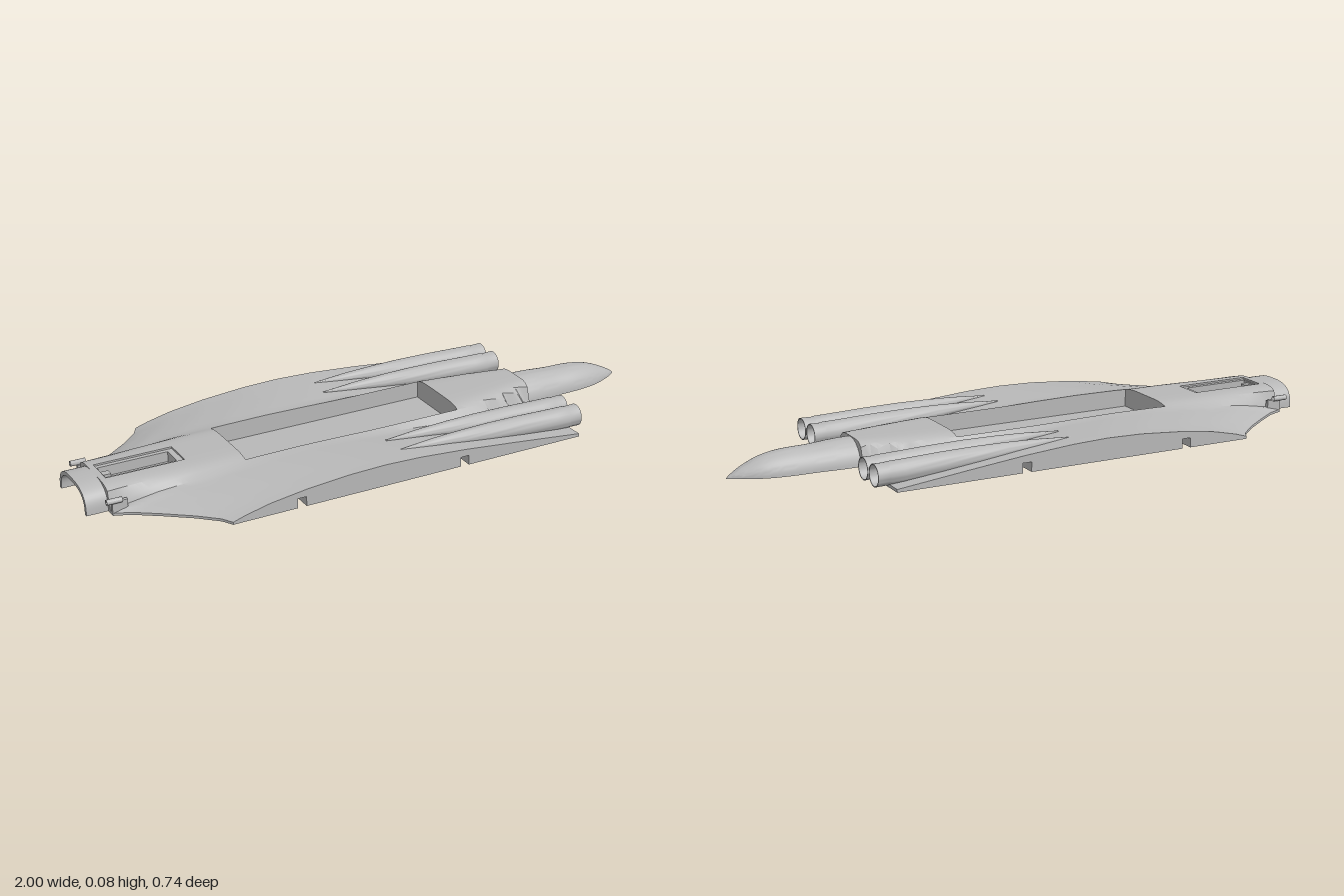
import * as THREE from 'three';
import { toCreasedNormals } from 'three/addons/utils/BufferGeometryUtils.js';

const grey = new THREE.MeshStandardMaterial({ color: 0xb8b8b8, side: THREE.DoubleSide });
grey.name = 'hull grey';

// Linear lookup in a list of [x, value] pairs
function lookup(table, x) {
  if (x <= table[0][0]) return table[0][1];
  for (let i = 1; i < table.length; i++) {
    const [x0, a] = table[i - 1], [x1, b] = table[i];
    if (x <= x1) return a + (b - a) * (x - x0) / (x1 - x0);
  }
  return table[table.length - 1][1];
}

const leading = [[-0.93, 0.145], [-0.88, 0.165], [-0.8, 0.22], [-0.72, 0.28], [-0.66, 0.335], [-0.64, 0.37]];
const leadingByZ = leading.map(([x, z]) => [z, x]);
const airfoil = [[0, 0.008], [0.03, 0.02], [0.1, 0.04], [0.2, 0.057], [0.32, 0.069], [0.42, 0.072],
  [0.52, 0.068], [0.65, 0.056], [0.8, 0.037], [1, 0.01]];
const bodyHalfWidth = [[-0.93, 0.125], [-0.8, 0.132], [-0.6, 0.15], [0.3, 0.148], [0.45, 0.122], [0.59, 0.088]];

// Height of the upper skin: wing and fuselage softly merged
function skin(x, z) {
  const az = Math.abs(z);
  const le = lookup(leadingByZ, az);
  const wing = lookup(airfoil, (x - le) / (0.6 - le));
  const s = az / lookup(bodyHalfWidth, x);
  const body = x < 0.5905 && s < 1 ? 0.08 * Math.pow(1 - s ** 5, 1 / 4) : 0;
  const k = 0.012, h = Math.max(k - Math.abs(wing - body), 0) / k;
  return Math.min(0.08, Math.max(wing, body) + h * h * k / 4);
}

// Recesses from above and from below: x0, x1, z0, z1, level
const upperPits = [
  [-0.905, -0.67, 0, 0.035, 0.04],
  [-0.91, -0.65, 0, 0.05, 0.074],
  [-0.48, 0.285, 0, 0.127, 0.012],
];
const lowerPits = [
  [-0.425, -0.395, 0.27, 0.38, 0.032],
  [0.15, 0.18, 0.27, 0.38, 0.032],
  [-0.425, -0.395, 0.127, 0.176, 0.032],
  [-0.11, -0.06, 0.224, 0.249, 0.03],
  [-0.47, -0.42, 0, 0.012, 0.008],
  [-0.72, -0.67, 0, 0.012, 0.025],
  [0.42, 0.47, 0, 0.012, 0.03],
  [-0.93, -0.9, 0.05, 0.08, 0.03],
];
const level = (pits, x, z) => {
  const p = pits.find(([x0, x1, z0, z1]) => x > x0 && x < x1 && Math.abs(z) > z0 && Math.abs(z) < z1);
  return p ? p[4] : null;
};

// Wing and fuselage as a grid of cells, with walls wherever levels change
function hullGeometry() {
  const xs = [-0.93, 0.59, 0.591, 0.6];
  for (let x = -0.92; x < 0.585; x += 0.02) xs.push(x);
  for (const p of [...upperPits, ...lowerPits]) xs.push(p[0], p[1]);
  leading.forEach(p => xs.push(p[0]));
  const X = [...new Set(xs.map(x => +x.toFixed(4)))].sort((a, b) => a - b);
  const inner = [0, 0.012, 0.035, 0.05, 0.065, 0.08, 0.095, 0.11, 0.127];
  const outerSteps = 10, n = inner.length - 1 + outerSteps;
  const zAt = (x, j) => {
    const a = Math.abs(j), last = inner.length - 1;
    const z = a <= last ? inner[a] : 0.127 + (lookup(leading, x) - 0.127) * (a - last) / outerSteps;
    return Math.sign(j) * z;
  };
  const pos = [];
  const quad = (a, b, c, d) => pos.push(...a, ...b, ...c, ...a, ...c, ...d);
  const cell = (i, j) => {
    if (i < 0 || i >= X.length - 1 || j < -n || j >= n) return null;
    const x = (X[i] + X[i + 1]) / 2, z = (zAt(x, j) + zAt(x, j + 1)) / 2;
    return { top: level(upperPits, x, z), bottom: level(lowerPits, x, z) ?? 0 };
  };
  for (let i = 0; i < X.length - 1; i++) for (let j = -n; j < n; j++) {
    const c = cell(i, j);
    const corners = [[i, j], [i, j + 1], [i + 1, j + 1], [i + 1, j]].map(([a, b]) => [X[a], zAt(X[a], b)]);
    const up = (q, k) => k.top ?? skin(q[0], q[1]);
    const at = (q, y) => [q[0], y, q[1]];
    quad(...corners.map(q => at(q, up(q, c))));
    quad(...corners.map(q => at(q, c.bottom)).reverse());
    const beside = [[i - 1, j], [i, j + 1], [i + 1, j], [i, j - 1]];
    beside.forEach(([a, b], s) => {
      const o = cell(a, b), p = corners[s], q = corners[(s + 1) % 4];
      if (!o) return quad(at(p, c.bottom), at(q, c.bottom), at(q, up(q, c)), at(p, up(p, c)));
      if (o.top !== c.top && (o.top ?? 1) < (c.top ?? 1))
        quad(at(p, o.top), at(q, o.top), at(q, up(q, c)), at(p, up(p, c)));
      if (o.bottom > c.bottom)
        quad(at(p, c.bottom), at(q, c.bottom), at(q, o.bottom), at(p, o.bottom));
    });
  }
  const g = new THREE.BufferGeometry();
  g.setAttribute('position', new THREE.Float32BufferAttribute(pos, 3));
  return g;
}

// Profile of [x, radius] pairs turned about the x axis
function turned(profile, segments, start = 0, sweep = Math.PI * 2) {
  const g = new THREE.LatheGeometry(profile.map(([x, r]) => new THREE.Vector2(r, x)), segments, start, sweep);
  return g.rotateZ(-Math.PI / 2);
}

export function createModel() {
  const model = new THREE.Group();
  model.name = 'aircraftCentreSection';
  const add = (name, geometry, crease = 0.6) => {
    const mesh = new THREE.Mesh(toCreasedNormals(geometry, crease), grey);
    mesh.name = name;
    model.add(mesh);
    return mesh;
  };

  add('wingAndFuselage', hullGeometry(), 0.5);

  // Tail boom: half body with a flat underside
  const boom = new THREE.SplineCurve([[0.56, 0.078], [0.64, 0.077], [0.73, 0.071], [0.82, 0.068], [0.89, 0.056],
    [0.95, 0.032], [0.985, 0.012], [1, 0]].map(p => new THREE.Vector2(...p)))
    .getPoints(40).map(p => [p.x, Math.max(p.y, 0)]);
  add('tailBoom', turned(boom, 28, Math.PI, Math.PI));
  const outline = [...boom, ...boom.slice(0, -1).reverse().map(([x, r]) => [x, -r])];
  const base = new THREE.Shape(outline.map(p => new THREE.Vector2(...p)));
  add('tailBoomUnderside', new THREE.ShapeGeometry(base).rotateX(Math.PI / 2));

  // Nose collar: open arch
  const arc = (w, h) => Array.from({ length: 25 }, (_, i) => {
    const a = Math.PI * i / 24, c = Math.cos(a);
    return new THREE.Vector2(w * Math.sign(c) * Math.abs(c) ** 0.7, h * Math.sin(a) ** 0.7);
  });
  const arch = new THREE.Shape([...arc(0.11, 0.08), ...arc(0.097, 0.068).reverse()]);
  const collar = new THREE.ExtrudeGeometry(arch, { depth: 0.075, bevelEnabled: false });
  add('noseCollar', collar.rotateY(Math.PI / 2).translate(-1, 0, 0));

  // Small fitting in the forward slot
  add('slotFitting', new THREE.BoxGeometry(0.025, 0.03, 0.025).translate(-0.89, 0.055, 0));

  // Paired exhaust nacelles and forward side tubes
  const nacelle = [[-0.03, 0.002], [0.03, 0.009], [0.1, 0.017], [0.2, 0.025], [0.3, 0.031], [0.42, 0.035],
    [0.55, 0.037], [0.595, 0.037], [0.6, 0.035], [0.64, 0.036], [0.64, 0.033], [0.57, 0.031], [0.57, 0]];
  for (const side of [1, -1]) {
    for (const z of [0.21, 0.29]) {
      const g = turned(nacelle, 28);
      const p = g.attributes.position;
      for (let i = 0; i < p.count; i++) {
        const t = Math.min(1, (p.getX(i) + 0.03) / 0.6);
        p.setY(i, Math.max(0.001, p.getY(i) + 0.066 - 0.029 * t));
      }
      add('exhaustNacelle', g.translate(0, 0, side * z));
    }
    const tube = turned([[-0.9, 0.009], [-0.95, 0.009], [-0.95, 0.006], [-0.9, 0.006]], 14);
    add('sideTube', tube.translate(0, 0.05, side * 0.148));
    add('sideTubeMount', new THREE.BoxGeometry(0.05, 0.04, 0.012).translate(-0.905, 0.025, side * 0.14));
  }
  return model;
}
